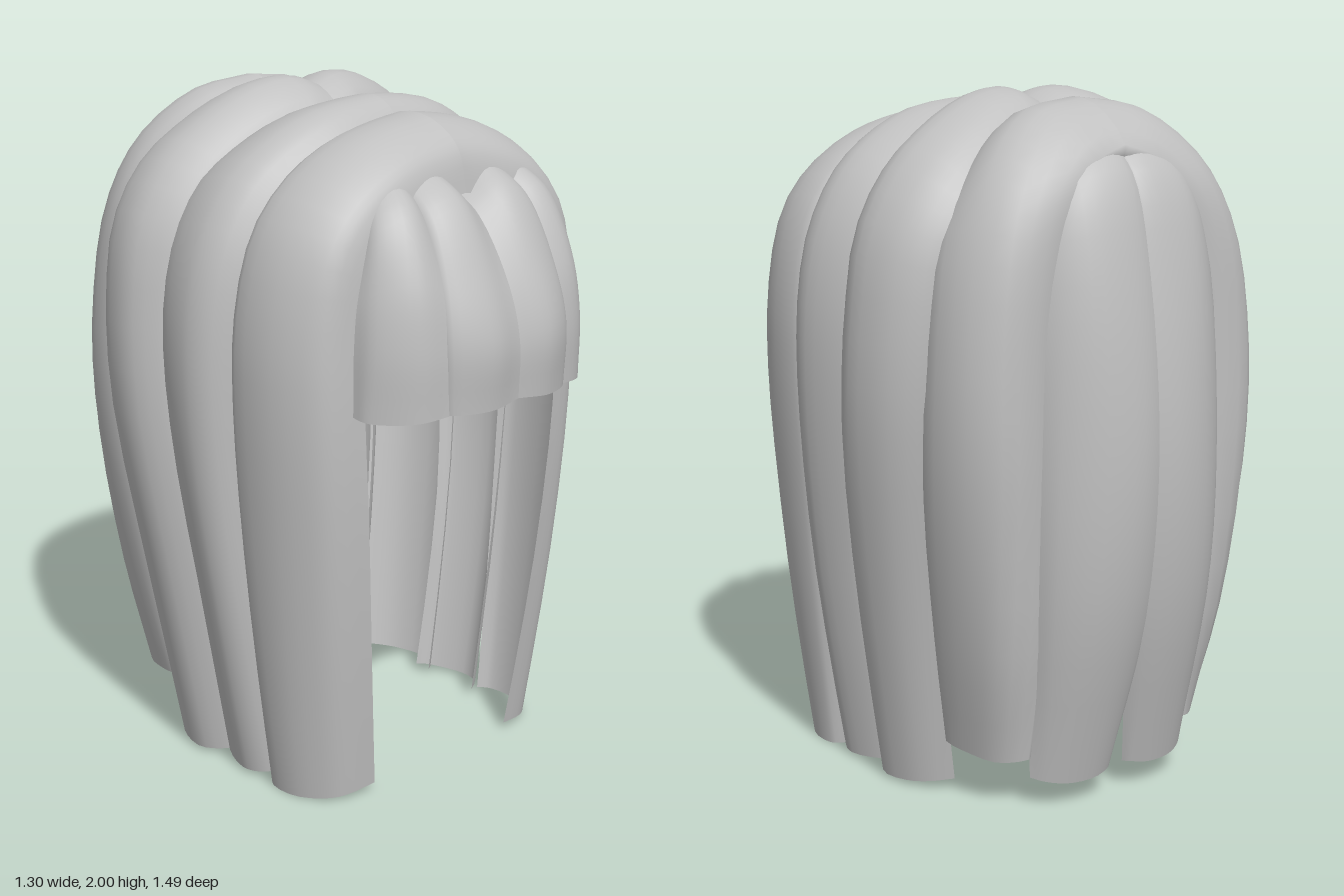
import * as THREE from 'three';

const V = (p) => new THREE.Vector3(...p);
const curve = (pts) => new THREE.CatmullRomCurve3(pts, false, 'centripetal');

// Smooth open sheet lofted across rails; rails run root to tip, ordered front to back.
function sheet(rails, side, rows = 22, cols = 14) {
  const curves = rails.map((r) => curve(r));
  const pos = [], idx = [];
  for (let i = 0; i <= rows; i++) {
    const across = curve(curves.map((c) => c.getPoint(i / rows)));
    for (let j = 0; j <= cols; j++) {
      const p = across.getPoint(j / cols);
      pos.push(p.x * side, p.y, p.z);
    }
  }
  const w = cols + 1;
  for (let i = 0; i < rows; i++) {
    for (let j = 0; j < cols; j++) {
      const a = i * w + j, b = a + w, c = a + 1, d = b + 1;
      if (side > 0) idx.push(a, b, c, c, b, d);
      else idx.push(a, c, b, c, d, b);
    }
  }
  const g = new THREE.BufferGeometry();
  g.setAttribute('position', new THREE.Float32BufferAttribute(pos, 3));
  g.setIndex(idx);
  g.computeVertexNormals();
  return g;
}

// Rails for a lock draped over the crown: path rows are [x, y, zFront, zBack],
// section rows are [fraction front to back, inset towards the head].
function drapedRails(path, section) {
  const front = curve(path.map(([x, y, z]) => V([x, y, z])));
  const back = curve(path.map(([x, y, , z]) => V([x, y, z])));
  return section.map(([f, inset]) => {
    const rail = [];
    for (let i = 0; i <= 14; i++) {
      const p = front.getPoint(i / 14).lerp(back.getPoint(i / 14), f);
      // Both halves meet at the parting, so the root is inset straight down
      const t = i === 0 ? V([1, 0, 0]) : front.getTangent(i / 14).setZ(0).normalize();
      rail.push(V([Math.max(0, p.x + t.y * inset), p.y - t.x * inset, p.z]));
    }
    return rail;
  });
}

const points = (rails) => rails.map((r) => r.map(V));

export function createModel() {
  const group = new THREE.Group();
  const hair = new THREE.MeshStandardMaterial({ color: 0xc0c0c0, side: THREE.DoubleSide });
  hair.name = 'hair grey';

  const locks = {
    // Long locks falling from the parting, each tucked under its neighbour
    frontSideLock: drapedRails([
      [0, 1.925, 0.515, 0.24], [0.14, 1.905, 0.515, 0.24], [0.27, 1.865, 0.52, 0.23], [0.42, 1.775, 0.52, 0.22],
      [0.53, 1.63, 0.52, 0.21], [0.58, 1.4, 0.52, 0.2], [0.587, 1.2, 0.525, 0.2], [0.57, 0.9, 0.525, 0.2],
      [0.53, 0.45, 0.5, 0.21], [0.475, 0, 0.46, 0.22],
    ], [[0, 0.195], [0.07, 0.1], [0.2, 0.05], [0.55, 0], [0.95, 0], [1.08, 0.03]]),
    middleSideLock: drapedRails([
      [0, 1.965, 0.26, 0], [0.2, 1.942, 0.26, -0.02], [0.36, 1.875, 0.24, -0.04], [0.5, 1.765, 0.22, -0.07],
      [0.6, 1.58, 0.21, -0.08], [0.64, 1.33, 0.2, -0.08], [0.63, 1.0, 0.2, -0.06], [0.575, 0.55, 0.21, -0.02],
      [0.48, 0.01, 0.22, -0.01],
    ], [[-0.06, 0.1], [0.2, 0.02], [0.5, 0], [1, 0.045], [1.1, 0.08]]),
    rearSideLock: drapedRails([
      [0, 1.975, 0, -0.3], [0.07, 2, -0.01, -0.31], [0.2, 1.985, -0.03, -0.33], [0.35, 1.915, -0.05, -0.36],
      [0.49, 1.81, -0.07, -0.39], [0.6, 1.64, -0.08, -0.4], [0.645, 1.38, -0.08, -0.4], [0.645, 1.06, -0.06, -0.38],
      [0.58, 0.58, -0.02, -0.33], [0.485, 0.01, 0, -0.28],
    ], [[-0.1, 0.09], [0.02, 0.045], [0.3, 0], [0.65, 0.02], [0.85, 0.06], [1, 0.115]]),

    // Corner lock forming the smooth dome at the back of the crown
    backCornerLock: points([
      [[0, 1.82, -0.18], [0.18, 1.8, -0.2], [0.32, 1.7, -0.26], [0.42, 1.56, -0.31], [0.47, 1.3, -0.33], [0.47, 0.95, -0.31], [0.42, 0.5, -0.28], [0.36, 0.16, -0.26]],
      [[0, 1.87, -0.2], [0.2, 1.85, -0.22], [0.36, 1.75, -0.29], [0.48, 1.6, -0.36], [0.53, 1.3, -0.38], [0.53, 0.95, -0.36], [0.47, 0.5, -0.32], [0.41, 0.16, -0.29]],
      [[0, 1.975, -0.32], [0.2, 1.945, -0.36], [0.36, 1.82, -0.43], [0.46, 1.62, -0.49], [0.51, 1.3, -0.52], [0.51, 0.95, -0.51], [0.46, 0.5, -0.45], [0.4, 0.15, -0.39]],
      [[0, 1.955, -0.45], [0.16, 1.915, -0.49], [0.3, 1.78, -0.56], [0.38, 1.6, -0.595], [0.42, 1.3, -0.61], [0.42, 0.95, -0.61], [0.4, 0.5, -0.56], [0.36, 0.14, -0.48]],
      [[0, 1.85, -0.57], [0.11, 1.81, -0.585], [0.21, 1.71, -0.605], [0.26, 1.57, -0.61], [0.28, 1.3, -0.605], [0.28, 0.95, -0.6], [0.28, 0.5, -0.58], [0.29, 0.15, -0.53]],
      [[0, 1.8, -0.55], [0.1, 1.76, -0.55], [0.19, 1.66, -0.57], [0.23, 1.52, -0.58], [0.24, 1.3, -0.57], [0.24, 0.95, -0.57], [0.25, 0.5, -0.55], [0.27, 0.15, -0.51]],
    ]),
    backLock: points([
      [[0.2, 1.82, -0.46], [0.27, 1.7, -0.53], [0.32, 1.5, -0.56], [0.33, 1.05, -0.57], [0.32, 0.6, -0.55], [0.28, 0.09, -0.52]],
      [[0.18, 1.85, -0.48], [0.23, 1.73, -0.58], [0.26, 1.52, -0.63], [0.285, 1.05, -0.65], [0.285, 0.6, -0.63], [0.25, 0.08, -0.55]],
      [[0.13, 1.88, -0.5], [0.17, 1.76, -0.61], [0.18, 1.52, -0.68], [0.19, 1.05, -0.72], [0.2, 0.6, -0.695], [0.19, 0.07, -0.58]],
      [[0.06, 1.89, -0.51], [0.07, 1.78, -0.62], [0.08, 1.52, -0.695], [0.08, 1.05, -0.745], [0.09, 0.6, -0.715], [0.1, 0.07, -0.59]],
      [[0, 1.88, -0.5], [0, 1.77, -0.61], [0, 1.52, -0.68], [0, 1.05, -0.73], [0, 0.6, -0.695], [0.04, 0.08, -0.575]],
      [[-0.02, 1.85, -0.49], [-0.03, 1.74, -0.59], [-0.05, 1.5, -0.65], [-0.07, 1.05, -0.69], [-0.05, 0.6, -0.66], [0.025, 0.08, -0.56]],
    ]),

    // Short under-layer inside the back
    innerSideLock: points([
      [[0.38, 1.65, -0.34], [0.42, 1.2, -0.38], [0.38, 0.86, -0.38]],
      [[0.3, 1.68, -0.44], [0.34, 1.2, -0.49], [0.29, 0.85, -0.48]],
      [[0.18, 1.68, -0.48], [0.2, 1.2, -0.53], [0.15, 0.88, -0.52]],
    ]),
    innerBackLock: points([
      [[0.2, 1.7, -0.48], [0.22, 1.2, -0.53], [0.2, 0.85, -0.52]],
      [[0.1, 1.72, -0.52], [0.11, 1.2, -0.58], [0.1, 0.83, -0.57]],
      [[0, 1.7, -0.51], [0, 1.2, -0.57], [0, 0.84, -0.56]],
    ]),

    // Fringe
    centreFringe: points([
      [[0, 1.74, 0.46], [0, 1.68, 0.56], [0, 1.5, 0.68], [0, 1.35, 0.725], [0, 1.19, 0.725]],
      [[0.1, 1.81, 0.46], [0.1, 1.73, 0.585], [0.115, 1.54, 0.69], [0.12, 1.36, 0.745], [0.12, 1.18, 0.735]],
      [[0.19, 1.78, 0.46], [0.2, 1.7, 0.57], [0.22, 1.52, 0.655], [0.235, 1.36, 0.69], [0.23, 1.18, 0.69]],
      [[0.22, 1.74, 0.44], [0.23, 1.65, 0.54], [0.24, 1.5, 0.62], [0.245, 1.35, 0.645], [0.24, 1.18, 0.645]],
    ]),
    sideFringe: points([
      [[0.13, 1.74, 0.44], [0.16, 1.66, 0.55], [0.19, 1.5, 0.65], [0.2, 1.35, 0.685], [0.21, 1.18, 0.69]],
      [[0.22, 1.8, 0.45], [0.26, 1.72, 0.56], [0.3, 1.54, 0.64], [0.32, 1.36, 0.665], [0.33, 1.17, 0.66]],
      [[0.29, 1.78, 0.44], [0.35, 1.68, 0.52], [0.39, 1.52, 0.56], [0.41, 1.36, 0.575], [0.42, 1.17, 0.565]],
      [[0.32, 1.72, 0.43], [0.37, 1.62, 0.47], [0.41, 1.5, 0.49], [0.425, 1.36, 0.5], [0.43, 1.18, 0.51]],
    ]),
  };

  for (const [name, rails] of Object.entries(locks)) {
    for (const side of [1, -1]) {
      const mesh = new THREE.Mesh(sheet(rails, side), hair);
      mesh.name = name + (side > 0 ? 'Left' : 'Right');
      group.add(mesh);
    }
  }
  return group;
}
